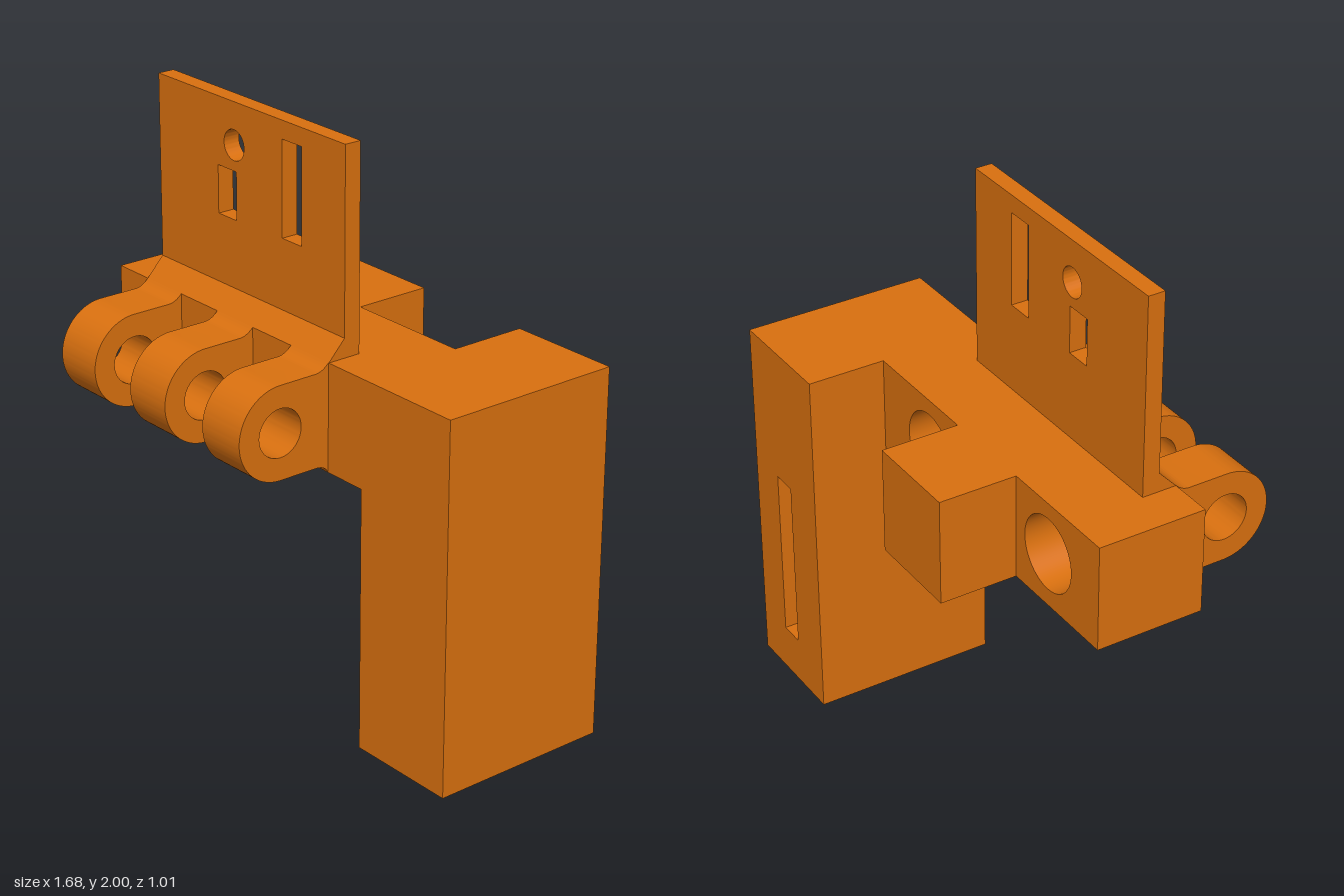
import * as THREE from 'three';
import { toCreasedNormals } from 'three/addons/utils/BufferGeometryUtils.js';

const FRONT = 0.153, BAR_BACK = -0.23, BACK = -0.505;
const BAR_LOW = 0.925, BAR_TOP = 1.3;

function polygon(points) {
  return new THREE.Shape(points.map(([x, y]) => new THREE.Vector2(x, y)));
}

function rect(x0, x1, y0, y1) {
  return polygon([[x0, y0], [x1, y0], [x1, y1], [x0, y1]]);
}

function circleHole(x, y, r) {
  const p = new THREE.Path();
  p.absarc(x, y, r, 0, Math.PI * 2, true);
  return p;
}

function extrude(shape, depth) {
  return new THREE.ExtrudeGeometry(shape, { depth, bevelEnabled: false, curveSegments: 32 });
}

export function createModel() {
  const model = new THREE.Group();
  model.name = 'hingeBracket';
  const orange = new THREE.MeshStandardMaterial({ color: 0xd9700f });
  orange.name = 'orange';

  function add(name, geometry) {
    const mesh = new THREE.Mesh(toCreasedNormals(geometry, 0.5), orange);
    mesh.name = name;
    model.add(mesh);
  }
  // Front outline extruded between two depths
  function addSlab(name, shape, z0, z1) {
    add(name, extrude(shape, z1 - z0).translate(0, 0, z0));
  }
  // Side outline (z, y) extruded between two x positions
  function addSide(name, shape, x0, x1) {
    add(name, extrude(shape, x1 - x0).rotateY(-Math.PI / 2).translate(x1, 0, 0));
  }

  // Bar and leg as one L outline: blind holes behind, solid front
  const bodyOutline = () => polygon([
    [-0.84, BAR_LOW], [0.43, BAR_LOW], [0.43, 0], [0.84, 0], [0.84, BAR_TOP], [-0.84, BAR_TOP],
  ]);
  const drilled = bodyOutline();
  for (const x of [-0.56, 0.14]) drilled.holes.push(circleHole(x, 1.115, 0.13));
  addSlab('drilledBody', drilled, BAR_BACK, 0.08);
  addSlab('bodyFront', bodyOutline(), 0.08, FRONT);

  // Blocks standing out at the back
  addSlab('middleBlock', rect(-0.38, -0.035, BAR_LOW, BAR_TOP), BACK, BAR_BACK);
  const leg = rect(0.43, 0.84, 0, BAR_TOP);
  leg.holes.push(rect(0.6, 0.69, 0.17, 0.8));
  addSlab('slottedLeg', leg, BACK, BAR_BACK);

  // Upright plate with its openings
  const plate = rect(-0.685, 0.27, BAR_TOP, 2);
  plate.holes.push(
    circleHole(-0.285, 1.855, 0.052),
    rect(-0.37, -0.275, 1.603, 1.768),
    rect(-0.04, 0.058, 1.61, 1.938),
  );
  addSlab('plate', plate, 0.03, 0.09);
  addSide('plateChamfer', polygon([[0.09, BAR_TOP], [FRONT, BAR_TOP], [0.09, 1.367]]), -0.685, 0.27);

  // Hinge knuckles with filleted roots
  const knuckle = new THREE.Shape();
  knuckle.moveTo(FRONT, BAR_LOW);
  knuckle.quadraticCurveTo(0.165, 0.953, 0.205, 0.953);
  knuckle.lineTo(0.345, 0.953);
  knuckle.absarc(0.345, 1.114, 0.161, -Math.PI / 2, Math.PI / 2, false);
  knuckle.lineTo(0.205, 1.275);
  knuckle.quadraticCurveTo(0.178, 1.275, FRONT, BAR_TOP);
  knuckle.closePath();
  knuckle.holes.push(circleHole(0.345, 1.114, 0.083));
  for (const x of [-0.685, -0.302, 0.081]) addSide('knuckle', knuckle, x, x + 0.187);

  return model;
}
